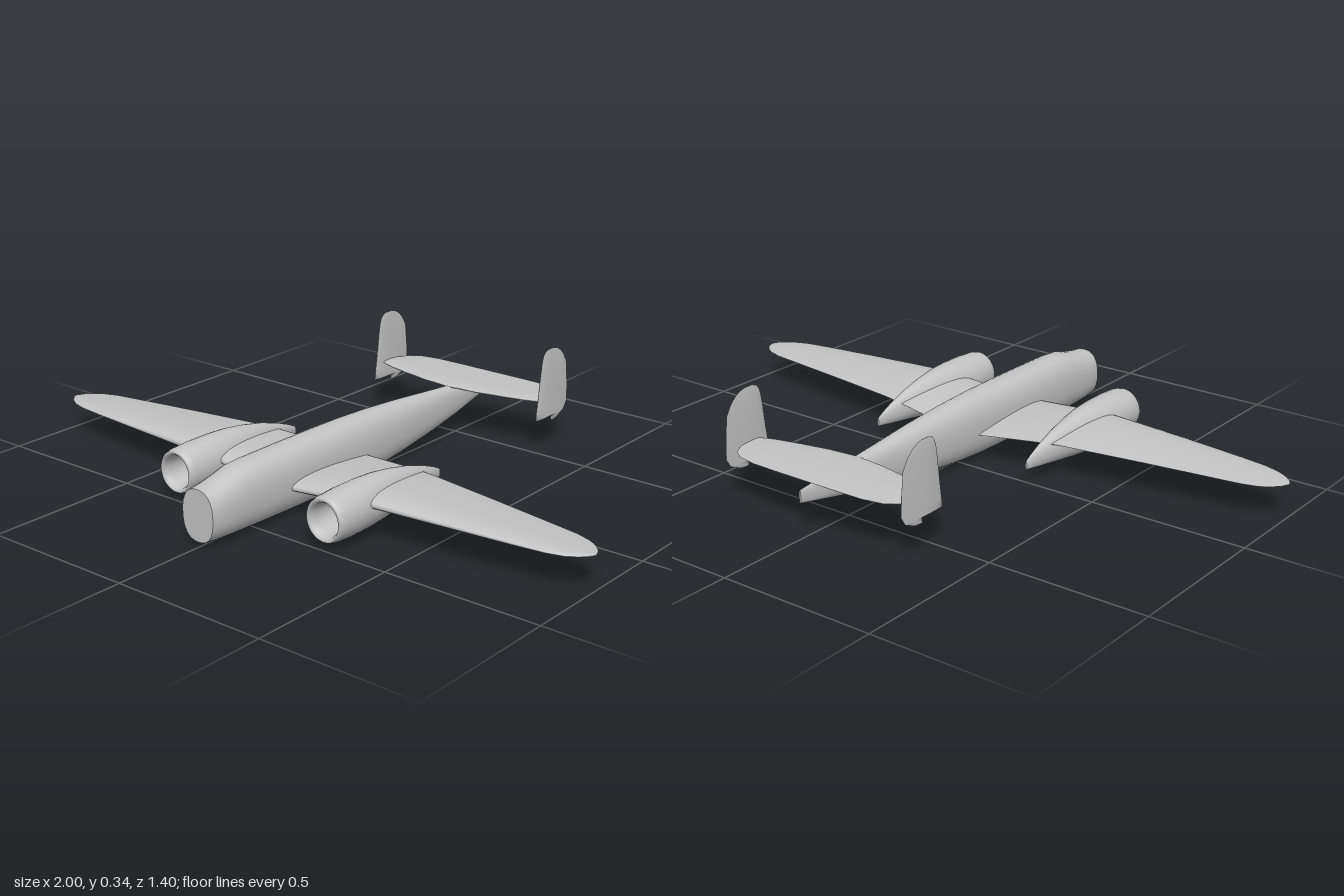
import * as THREE from 'three';

const paint = new THREE.MeshStandardMaterial({ color: 0xc4c4c4, side: THREE.DoubleSide });
paint.name = 'light grey';

const SEG = 32;
const angles = Array.from({ length: SEG }, (_, j) => (j / SEG) * Math.PI * 2);

// Skin a list of closed rings; the caps have their own vertices so they stay sharp
function loft(name, rings, capStart = true, capEnd = true) {
  const pos = rings.flat(2);
  const idx = [];
  for (let i = 0; i < rings.length - 1; i++) {
    for (let j = 0; j < SEG; j++) {
      const k = (j + 1) % SEG;
      const a = i * SEG + j, b = a + SEG, c = (i + 1) * SEG + k, d = i * SEG + k;
      idx.push(a, b, c, a, c, d);
    }
  }
  const cap = (ring, flip) => {
    const base = pos.length / 3;
    const mid = [0, 1, 2].map((n) => ring.reduce((s, p) => s + p[n], 0) / SEG);
    pos.push(...ring.flat(), ...mid);
    for (let j = 0; j < SEG; j++) {
      const p = base + j, q = base + ((j + 1) % SEG);
      idx.push(base + SEG, flip ? q : p, flip ? p : q);
    }
  };
  if (capStart) cap(rings[0], false);
  if (capEnd) cap(rings[rings.length - 1], true);
  const g = new THREE.BufferGeometry();
  g.setAttribute('position', new THREE.Float32BufferAttribute(pos, 3));
  g.setIndex(idx);
  g.computeVertexNormals();
  const mesh = new THREE.Mesh(g, paint);
  mesh.name = name;
  return mesh;
}

// Rounded body section: z, bottom y, top y, half width
function bodyRing([z, y0, y1, w], power = 2) {
  const f = (v) => Math.sign(v) * Math.abs(v) ** (2 / power);
  return angles.map((a) => [w * f(Math.cos(a)), (y0 + y1) / 2 + ((y1 - y0) / 2) * f(Math.sin(a)), z]);
}

// Aerofoil outline as [z, offset] pairs, starting at the trailing edge
function aerofoil(lead, trail, thick) {
  return angles.map((a) => {
    const u = (1 + Math.cos(a)) / 2;
    const h = 5 * (0.2969 * Math.sqrt(u) - 0.126 * u - 0.3516 * u ** 2 + 0.2843 * u ** 3 - 0.1036 * u ** 4);
    return [lead - u * (lead - trail), Math.sign(Math.sin(a)) * h * thick];
  });
}

// Full-span surface from half-span stations: x, leading z, trailing z, y, thickness
function span(name, stations) {
  const mirrored = stations.slice(1).map(([x, ...rest]) => [-x, ...rest]);
  const all = [...stations].reverse().concat(mirrored);
  return loft(name, all.map(([x, l, t, y, h]) => aerofoil(l, t, h).map(([z, o]) => [x, y + o, z])));
}

export function createModel() {
  const model = new THREE.Group();
  model.name = 'twinEngineAircraft';

  // Deep, narrow fuselage with a blunt nose, tapering to a thin tail
  const body = [
    [0.70, 0.015, 0.173, 0.058], [0.66, 0.012, 0.177, 0.063], [0.61, 0.009, 0.187, 0.065],
    [0.56, 0.007, 0.201, 0.066], [0.50, 0.005, 0.205, 0.067], [0.35, 0.002, 0.206, 0.067],
    [0.20, 0.000, 0.206, 0.066], [0.08, 0.001, 0.205, 0.063], [-0.05, 0.009, 0.200, 0.058],
    [-0.20, 0.024, 0.190, 0.048], [-0.35, 0.043, 0.177, 0.036], [-0.48, 0.064, 0.166, 0.025],
    [-0.60, 0.088, 0.157, 0.013], [-0.70, 0.108, 0.148, 0.003],
  ];
  model.add(loft('fuselage', body.map((s) => bodyRing(s, 2.4))));

  // Tapered wing, rising from the root to the engines
  model.add(span('wing', [
    [0, 0.385, 0.028, 0.087, 0.045], [0.065, 0.384, 0.034, 0.091, 0.045],
    [0.285, 0.375, 0.068, 0.108, 0.048], [0.36, 0.37, 0.08, 0.11, 0.048],
    [0.6, 0.35, 0.117, 0.109, 0.034], [0.8, 0.331, 0.148, 0.107, 0.023],
    [0.89, 0.32, 0.162, 0.106, 0.018], [0.94, 0.305, 0.178, 0.105, 0.014],
    [0.97, 0.287, 0.198, 0.105, 0.01], [0.99, 0.268, 0.22, 0.105, 0.007],
    [1, 0.252, 0.242, 0.105, 0.003],
  ]));

  // Engine nacelles: open intake, rounded lip, knife-edged tail
  const nacelle = [
    [0.36, 0.045, 0.135, 0.045], [0.47, 0.042, 0.138, 0.047], [0.495, 0.038, 0.142, 0.051],
    [0.505, 0.031, 0.150, 0.057], [0.50, 0.025, 0.156, 0.063], [0.48, 0.020, 0.161, 0.066],
    [0.42, 0.016, 0.165, 0.068], [0.34, 0.016, 0.166, 0.064], [0.27, 0.019, 0.163, 0.057],
    [0.20, 0.025, 0.154, 0.046], [0.12, 0.035, 0.138, 0.032], [0.05, 0.044, 0.117, 0.019],
    [0.0, 0.051, 0.098, 0.009], [-0.03, 0.056, 0.084, 0.003],
  ];
  for (const side of [1, -1]) {
    const engine = new THREE.Group();
    engine.name = side > 0 ? 'leftEngine' : 'rightEngine';
    engine.position.x = side * 0.285;
    engine.add(loft('nacelle', nacelle.map((s) => bodyRing(s)), false));
    const face = new THREE.Mesh(new THREE.CircleGeometry(0.046, SEG), paint);
    face.name = 'engineFace';
    face.position.set(0, 0.09, 0.362);
    engine.add(face);
    model.add(engine);
  }

  // Tailplane
  model.add(span('tailplane', [
    [0, -0.455, -0.676, 0.166, 0.016], [0.1, -0.465, -0.676, 0.166, 0.016],
    [0.2, -0.485, -0.674, 0.166, 0.014], [0.265, -0.5, -0.662, 0.166, 0.012],
    [0.3, -0.512, -0.638, 0.166, 0.01], [0.325, -0.525, -0.59, 0.166, 0.008],
  ]));

  // Twin fins, with the rudder reaching lower: y, leading z, trailing z, thickness
  const fin = [
    [0.336, -0.54, -0.57, 0.002], [0.33, -0.523, -0.592, 0.004], [0.318, -0.513, -0.612, 0.006],
    [0.3, -0.507, -0.63, 0.008], [0.27, -0.502, -0.648, 0.01], [0.2, -0.493, -0.656, 0.012],
    [0.14, -0.484, -0.659, 0.012], [0.113, -0.48, -0.642, 0.012], [0.112, -0.568, -0.64, 0.008],
    [0.095, -0.568, -0.6, 0.005],
  ];
  for (const side of [1, -1]) {
    const rings = fin.map(([y, l, t, h]) => aerofoil(l, t, h).map(([z, o]) => [-o, y, z]));
    const mesh = loft(side > 0 ? 'leftFin' : 'rightFin', rings);
    mesh.position.x = side * 0.324;
    model.add(mesh);
  }
  return model;
}
